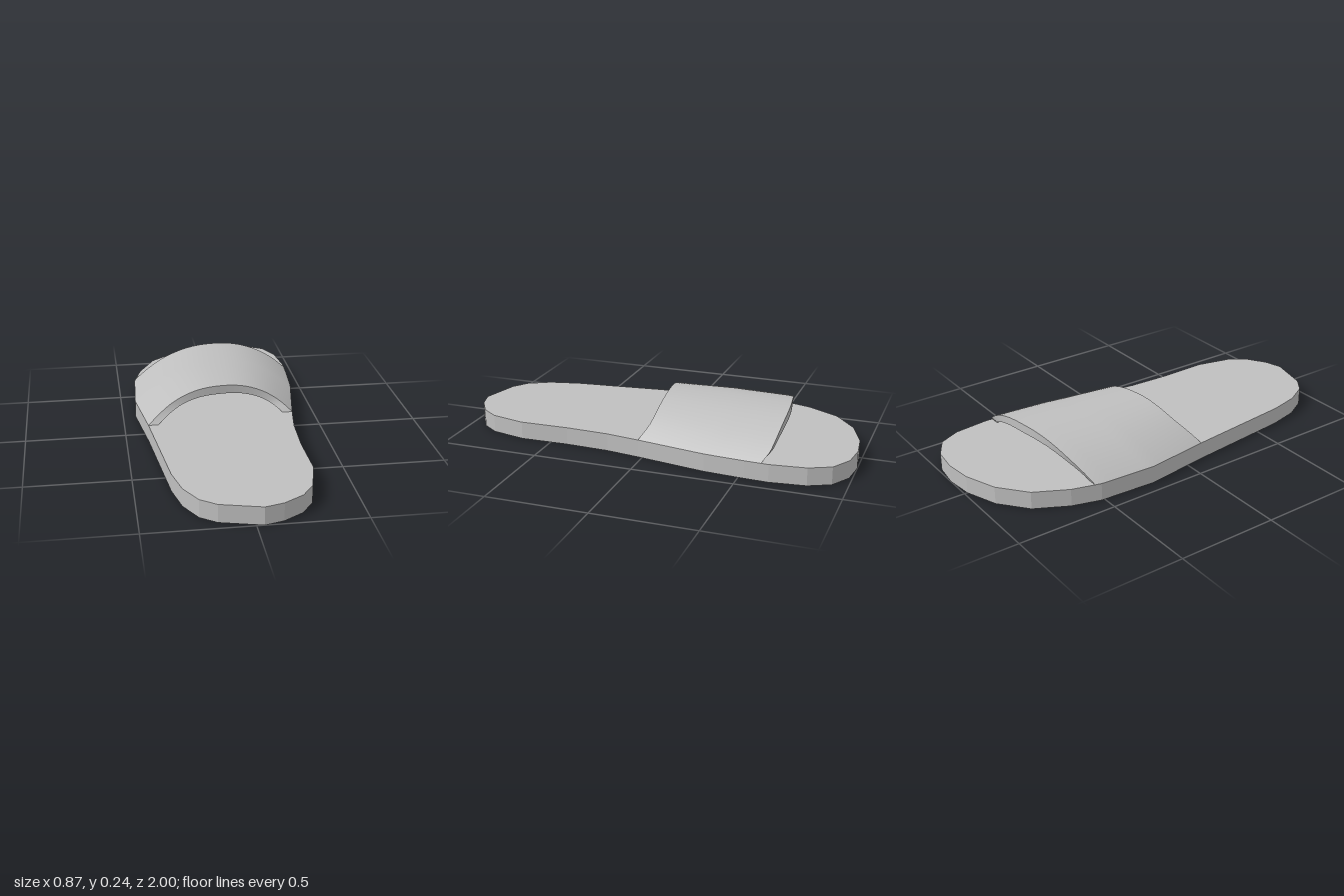
import * as THREE from 'three';

const SOLE_TOP = 0.088;
const STRAP_TOP = 0.237;

// Sole outline as [x, z], split into its two sides, toe (-z) to heel (+z)
const rightEdge = [[0.135, -1], [0.26, -0.985], [0.36, -0.925], [0.41, -0.82], [0.43, -0.645],
  [0.425, -0.53], [0.41, -0.33], [0.35, 0.02], [0.325, 0.19], [0.315, 0.41], [0.32, 0.655],
  [0.28, 0.83], [0.22, 0.915], [0.125, 0.975], [0.035, 1]];
const leftEdge = [[0, -0.985], [-0.16, -0.925], [-0.295, -0.815], [-0.38, -0.655], [-0.42, -0.515],
  [-0.435, -0.23], [-0.39, 0.09], [-0.33, 0.635], [-0.295, 0.785], [-0.235, 0.895], [-0.16, 0.95]];

// Strap rims as [t, z]; t runs across the foot from -1 to 1
const frontRim = [[-1, 0.09], [-0.6, 0.02], [0, -0.015], [0.45, -0.025], [0.8, -0.015], [1, 0.02]];
const backRim = [[-1, -0.545], [-0.6, -0.6], [0, -0.645], [0.4, -0.655], [0.85, -0.64], [1, -0.61]];

// Smooth curve through rim points, sampled by t
function rimZ(points, t) {
  let i = 0;
  while (i < points.length - 2 && t > points[i + 1][0]) i++;
  const slope = (k) => {
    const a = points[Math.max(k - 1, 0)], b = points[Math.min(k + 1, points.length - 1)];
    return (b[1] - a[1]) / (b[0] - a[0]);
  };
  const [t0, z0] = points[i], [t1, z1] = points[i + 1];
  const w = t1 - t0, u = (t - t0) / w, v = 1 - u;
  return v * v * (1 + 2 * u) * z0 + u * u * (3 - 2 * u) * z1
    + w * u * v * (v * slope(i) - u * slope(i + 1));
}

// x of a sole side at a given z
function edgeX(edge, z) {
  let i = 0;
  while (i < edge.length - 2 && z > edge[i + 1][1]) i++;
  const [x0, z0] = edge[i], [x1, z1] = edge[i + 1];
  return x0 + (x1 - x0) * (z - z0) / (z1 - z0);
}

// Point on the strap: s front to back, t across, depth 0 outer to 1 inner
function strapPoint(s, t, depth) {
  const zAt = (k) => THREE.MathUtils.lerp(rimZ(frontRim, k), rimZ(backRim, k), s);
  const xl = edgeX(leftEdge, zAt(-1)), xr = edgeX(rightEdge, zAt(1));
  const half = (xr - xl) / 2 - depth * 0.05;
  const power = (t < 0 ? 2.15 : 2.4) + depth * 0.25;
  const rise = (STRAP_TOP - SOLE_TOP - depth * 0.044) * (1 - Math.abs(t) ** power);
  return [(xl + xr) / 2 + half * t, SOLE_TOP + rise, zAt(t)];
}

// Surface grid; rows along the first parameter, columns across the strap
function strapSurface(name, rows, flip, point, material) {
  const cols = 40, pos = [], index = [];
  for (let i = 0; i <= rows; i++) {
    for (let j = 0; j <= cols; j++) {
      pos.push(...point(i / rows, Math.sin((j / cols - 0.5) * Math.PI)));
    }
  }
  for (let i = 0; i < rows; i++) {
    for (let j = 0; j < cols; j++) {
      const a = i * (cols + 1) + j, b = a + 1, c = a + cols + 1, d = c + 1;
      index.push(...(flip ? [a, c, b, b, c, d] : [a, b, c, b, d, c]));
    }
  }
  const geometry = new THREE.BufferGeometry();
  geometry.setAttribute('position', new THREE.Float32BufferAttribute(pos, 3));
  geometry.setIndex(index);
  geometry.computeVertexNormals();
  const mesh = new THREE.Mesh(geometry, material);
  mesh.name = name;
  return mesh;
}

export function createModel() {
  const group = new THREE.Group();
  group.name = 'slideSandal';
  const grey = new THREE.MeshStandardMaterial({ color: 0xbfbfbf });
  grey.name = 'grey';

  // Flat sole with faceted rim
  const outline = [...rightEdge, ...leftEdge.slice().reverse()];
  const shape = new THREE.Shape(outline.map(([x, z]) => new THREE.Vector2(x, -z)));
  const soleGeometry = new THREE.ExtrudeGeometry(shape, { depth: SOLE_TOP, bevelEnabled: false });
  soleGeometry.rotateX(-Math.PI / 2);
  const sole = new THREE.Mesh(soleGeometry, grey);
  sole.name = 'sole';
  group.add(sole);

  // Arched strap: outer and inner skins closed by the two rims
  const strap = new THREE.Group();
  strap.name = 'strap';
  strap.add(
    strapSurface('strapOuter', 16, false, (s, t) => strapPoint(s, t, 0), grey),
    strapSurface('strapInner', 16, true, (s, t) => strapPoint(s, t, 1), grey),
    strapSurface('strapFrontRim', 1, false, (u, t) => strapPoint(0, t, 1 - u), grey),
    strapSurface('strapBackRim', 1, true, (u, t) => strapPoint(1, t, 1 - u), grey),
  );
  group.add(strap);
  return group;
}
